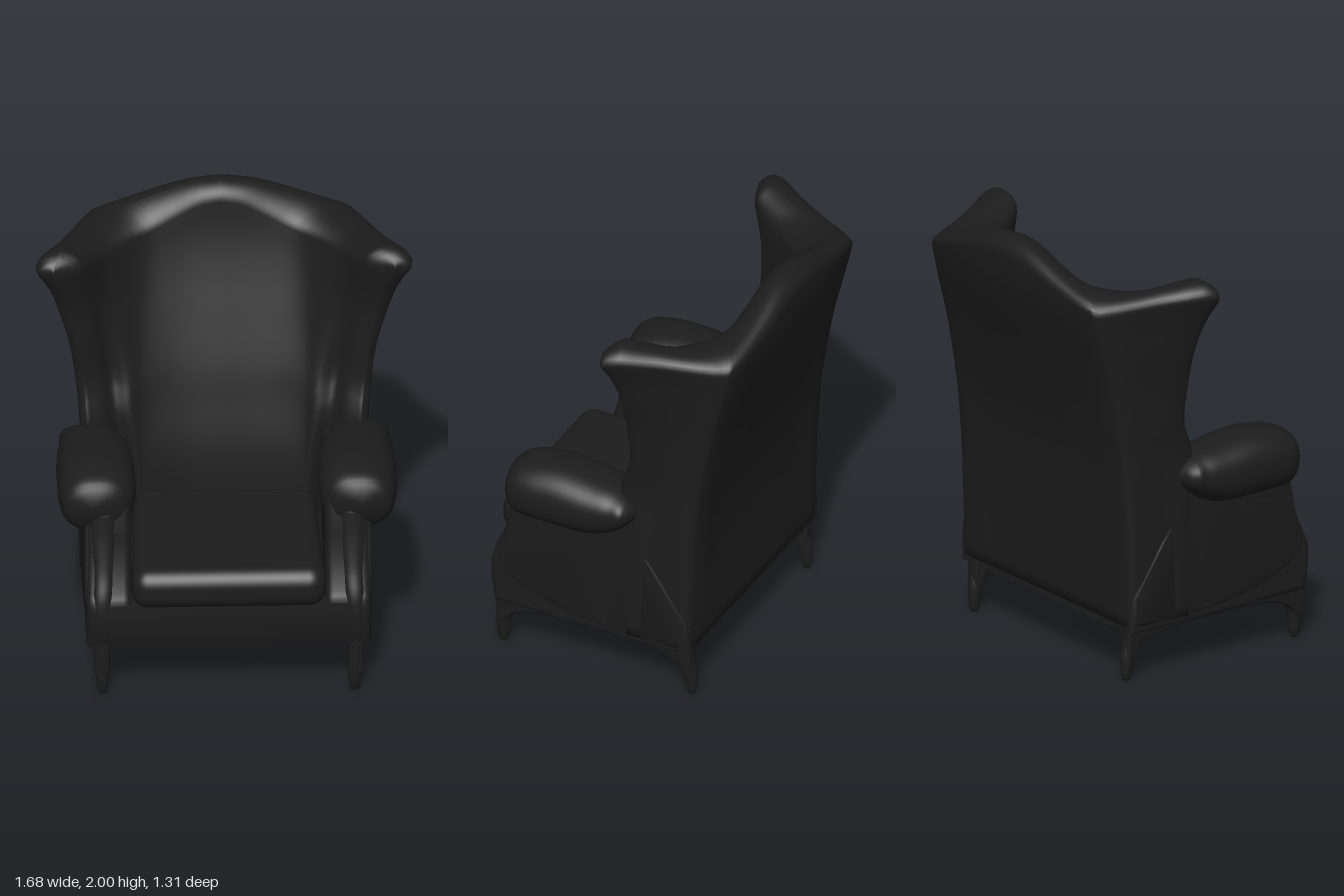
import * as THREE from 'three';
import { toCreasedNormals } from 'three/addons/utils/BufferGeometryUtils.js';
import { RoundedBoxGeometry } from 'three/addons/geometries/RoundedBoxGeometry.js';

const upholstery = new THREE.MeshStandardMaterial({ color: 0x1c1c1c });
upholstery.name = 'black upholstery';

// Smooth lookup in rows of [key, ...values]
function table(rows) {
  const size = rows[0].length - 1;
  const curve = new THREE.CubicInterpolant(
    rows.map(r => r[0]), rows.flatMap(r => r.slice(1)), size, new Float32Array(size));
  return key => Array.from(curve.evaluate(key));
}

// Smooth skin over closed rings of points, turned so that it faces outwards
function skin(rings) {
  const n = rings[0].length, all = rings.flat(), index = [];
  for (let j = 0; j < rings.length - 1; j++) {
    for (let i = 0; i < n; i++) {
      const a = j * n + i, b = j * n + (i + 1) % n;
      index.push(a, b, b + n, a, b + n, a + n);
    }
  }
  let volume = 0;
  const cross = new THREE.Vector3();
  for (let i = 0; i < index.length; i += 3) {
    volume += all[index[i]].dot(cross.crossVectors(all[index[i + 1]], all[index[i + 2]]));
  }
  if (volume < 0) index.reverse();
  const geo = new THREE.BufferGeometry();
  geo.setAttribute('position', new THREE.Float32BufferAttribute(all.flatMap(p => [p.x, p.y, p.z]), 3));
  geo.setIndex(index);
  geo.computeVertexNormals();
  return geo;
}

// Oval sections along y or z: [position, x, other, radius x, radius other]; power < 1 is squarer
function ovalLoft(rows, axis, steps = 24, sides = 28, power = 1) {
  const at = table(rows), start = rows[0][0], end = rows[rows.length - 1][0];
  const bend = v => Math.sign(v) * Math.abs(v) ** power;
  const ring = (t, k) => {
    const [cx, co, rx, ro] = at(t);
    return Array.from({ length: sides }, (_, i) => {
      const a = i / sides * Math.PI * 2;
      const x = cx + k * rx * bend(Math.cos(a)), o = co + k * ro * bend(Math.sin(a));
      return axis === 'y' ? new THREE.Vector3(x, t, o) : new THREE.Vector3(x, o, t);
    });
  };
  const rings = [ring(start, 0)];
  for (let j = 0; j <= steps; j++) rings.push(ring(start + (end - start) * j / steps, 1));
  rings.push(ring(end, 0));
  return skin(rings);
}

// Side profile in (z, y), extruded from x0 to x1 with soft edges
function sideExtrude(shape, x0, x1, bevel) {
  const geo = new THREE.ExtrudeGeometry(shape, {
    depth: x1 - x0 - 2 * bevel, bevelSize: bevel, bevelThickness: bevel,
    bevelOffset: -bevel, bevelSegments: 5, curveSegments: 16 });
  geo.rotateY(-Math.PI / 2);
  geo.translate(x1 - bevel, 0, 0);
  return toCreasedNormals(geo, 0.8);
}

// Back and wings: plan outline by height, from wing tip round the back to wing tip
function backGeometry() {
  // y: rear z, inner back z, wing front z, wing outer x, wing inner x, corner x, corner setback
  const plan = table([
    [0.26, -0.415, -0.13, -0.06, 0.64, 0.46, 0.63, 0.006],
    [0.8, -0.435, -0.18, -0.06, 0.643, 0.49, 0.632, 0.008],
    [1.06, -0.465, -0.24, -0.06, 0.645, 0.52, 0.628, 0.014],
    [1.16, -0.485, -0.265, -0.102, 0.655, 0.53, 0.626, 0.018],
    [1.4, -0.54, -0.34, -0.108, 0.69, 0.56, 0.624, 0.03],
    [1.6, -0.6, -0.405, -0.098, 0.745, 0.59, 0.622, 0.04],
    [1.72, -0.635, -0.44, -0.07, 0.785, 0.61, 0.62, 0.045],
    [1.83, -0.655, -0.465, -0.04, 0.845, 0.63, 0.62, 0.045],
    [2, -0.655, -0.49, -0.05, 0.845, 0.63, 0.62, 0.045]]);
  const crest = table([[0, 2], [0.13, 1.983], [0.28, 1.93], [0.45, 1.872], [0.6, 1.852],
    [0.68, 1.88], [0.75, 1.905], [0.8, 1.9]]);
  const N = 60, levels = 30, caps = 8, r = 0.075, y0 = 0.265;
  const point = (k, y) => {
    const [zb, zi, zw, xw, xi, xc, set] = plan(y);
    const tip = [(xw + xi) / 2 + 0.03, zw];
    const half = k <= N
      ? [[0, zb], [0.35, zb + set * 0.25], [xc - 0.03, zb + set], [xc, zb + set + 0.03],
        [(xc + xw) / 2, (zb + set + zw) / 2], [xw, zw - 0.03], tip]
      : [[0, zi], [0.2, zi + 0.005], [0.36, zi + 0.04],
        [xi - 0.1, zi + (zw - zi) * 0.45], [xi - 0.03, zw - 0.1], [xi + 0.02, zw - 0.04], tip];
    const s = 1 - (k <= N ? k : 2 * N - k) / N * 2;
    const curve = new THREE.CatmullRomCurve3([
      new THREE.Vector3(-half[1][0], 0, half[1][1]),
      ...half.map(([x, z]) => new THREE.Vector3(x, 0, z))], false, 'centripetal');
    const p = curve.getPoint((1 + Math.abs(s) * (half.length - 1)) / half.length);
    return new THREE.Vector3(s < 0 ? -p.x : p.x, y, p.z);
  };
  const ring = (height, keep) => Array.from({ length: 2 * N }, (_, k) => {
    const pair = (2 * N - k) % (2 * N);
    const mid = point(k, 1.84).add(point(pair, 1.84)).multiplyScalar(0.5);
    // The wing tops round over towards their front edge
    const nose = THREE.MathUtils.clamp((mid.z + 0.13) / 0.09, 0, 1);
    const y = height(crest(Math.abs(mid.x))[0] - 0.07 * nose * nose);
    const p = point(k, y);
    return p.lerp(p.clone().add(point(pair, y)).multiplyScalar(0.5), 1 - keep);
  });
  const rings = [ring(() => y0, 0)];
  for (let j = 0; j <= levels; j++) rings.push(ring(t => y0 + (t - r - y0) * j / levels, 1));
  for (let j = 1; j <= caps; j++) {
    const a = j / caps * Math.PI / 2;
    rings.push(ring(t => t - r + r * Math.sin(a), Math.cos(a)));
  }
  return skin(rings);
}

export function createModel() {
  const chair = new THREE.Group();
  chair.name = 'wingback armchair';
  const add = (name, geo) => {
    const mesh = new THREE.Mesh(geo, upholstery);
    mesh.name = name;
    chair.add(mesh);
  };
  // Mirrors a left-hand geometry to the right side
  const addPair = (name, geo) => {
    add(name + 'Left', geo);
    const right = geo.clone().scale(-1, 1, 1);
    if (!right.index) right.setIndex([...Array(right.attributes.position.count).keys()]);
    right.index.array.reverse();
    add(name + 'Right', right);
  };

  add('backWithWings', backGeometry());

  // Seat frame with a rounded front rail
  const frame = new THREE.Shape();
  frame.moveTo(-0.405, 0.232);
  frame.lineTo(0.575, 0.232);
  frame.quadraticCurveTo(0.61, 0.34, 0.6, 0.465);
  frame.lineTo(-0.39, 0.465);
  frame.closePath();
  add('seatFrame', sideExtrude(frame, -0.6, 0.6, 0.04));

  // Side walls below the arms, running down to the legs
  const wall = new THREE.Shape();
  wall.moveTo(-0.15, 0.232);
  wall.lineTo(0.575, 0.232);
  wall.quadraticCurveTo(0.62, 0.44, 0.575, 0.5);
  wall.quadraticCurveTo(0.51, 0.63, 0.49, 0.8);
  wall.lineTo(0.46, 0.93);
  wall.lineTo(-0.15, 0.93);
  wall.closePath();
  addPair('sideWall', sideExtrude(wall, 0.435, 0.637, 0.035));

  // Lower side rail towards the rear corner
  const rail = new THREE.Shape();
  rail.moveTo(-0.41, 0.232);
  rail.lineTo(0.3, 0.232);
  rail.lineTo(0.3, 0.4);
  rail.lineTo(-0.405, 0.4);
  rail.closePath();
  addPair('sideRail', sideExtrude(rail, 0.5, 0.635, 0.02));

  // Raised side panel with a sweeping lower edge
  const panel = new THREE.Shape();
  panel.moveTo(-0.4, 0.275);
  panel.bezierCurveTo(-0.1, 0.24, 0.48, 0.28, 0.55, 0.47);
  panel.quadraticCurveTo(0.5, 0.65, 0.47, 0.85);
  panel.lineTo(-0.1, 0.85);
  panel.lineTo(-0.4, 0.4);
  panel.closePath();
  addPair('sidePanel', sideExtrude(panel, 0.61, 0.643, 0.012));

  // Padded arm rolls
  addPair('armRoll', ovalLoft([
    [-0.155, 0.61, 0.935, 0.02, 0.015], [-0.13, 0.61, 0.935, 0.1, 0.05],
    [-0.05, 0.595, 0.92, 0.145, 0.105], [0.06, 0.588, 0.908, 0.168, 0.137],
    [0.25, 0.585, 0.915, 0.175, 0.15], [0.38, 0.585, 0.91, 0.17, 0.143],
    [0.45, 0.59, 0.907, 0.145, 0.125], [0.48, 0.595, 0.915, 0.11, 0.09],
    [0.495, 0.6, 0.92, 0.05, 0.04]], 'z', 36, 40, 0.85));

  // Narrow facing down the front of each arm
  addPair('armFacing', ovalLoft([
    [0.235, 0.568, 0.56, 0.03, 0.02], [0.3, 0.568, 0.572, 0.045, 0.026],
    [0.48, 0.565, 0.57, 0.042, 0.028], [0.6, 0.56, 0.52, 0.045, 0.03],
    [0.75, 0.56, 0.482, 0.055, 0.03], [0.9, 0.565, 0.46, 0.06, 0.03]], 'y'));

  // Seat cushion, a little narrower behind the arm fronts
  const cushion = new RoundedBoxGeometry(0.88, 0.195, 0.795, 8, 0.08);
  const pos = cushion.attributes.position;
  for (let i = 0; i < pos.count; i++) {
    pos.setX(i, pos.getX(i) * (0.965 + 0.08 * pos.getZ(i)));
  }
  cushion.translate(0, 0.56, 0.258);
  add('seatCushion', cushion);

  // Arched brackets joining front and rear legs
  const arch = new THREE.Shape();
  arch.moveTo(0.585, 0.1);
  arch.lineTo(0.545, 0.1);
  arch.bezierCurveTo(0.5, 0.2, 0.4, 0.213, 0.1, 0.213);
  arch.bezierCurveTo(-0.2, 0.213, -0.32, 0.2, -0.36, 0.1);
  arch.lineTo(-0.4, 0.1);
  arch.lineTo(-0.4, 0.28);
  arch.lineTo(0.585, 0.28);
  arch.closePath();
  addPair('legBracket', sideExtrude(arch, 0.535, 0.602, 0.014));

  // Curved tapering legs
  addPair('frontLeg', ovalLoft([
    [0, 0.565, 0.557, 0.018, 0.018], [0.03, 0.565, 0.557, 0.025, 0.028],
    [0.12, 0.566, 0.555, 0.032, 0.036], [0.18, 0.567, 0.54, 0.036, 0.052],
    [0.27, 0.568, 0.52, 0.04, 0.07]], 'y'));
  addPair('rearLeg', ovalLoft([
    [0, 0.565, -0.388, 0.018, 0.018], [0.04, 0.565, -0.385, 0.025, 0.028],
    [0.12, 0.566, -0.378, 0.032, 0.034], [0.17, 0.567, -0.355, 0.036, 0.046],
    [0.27, 0.568, -0.335, 0.04, 0.07]], 'y'));

  return chair;
}
